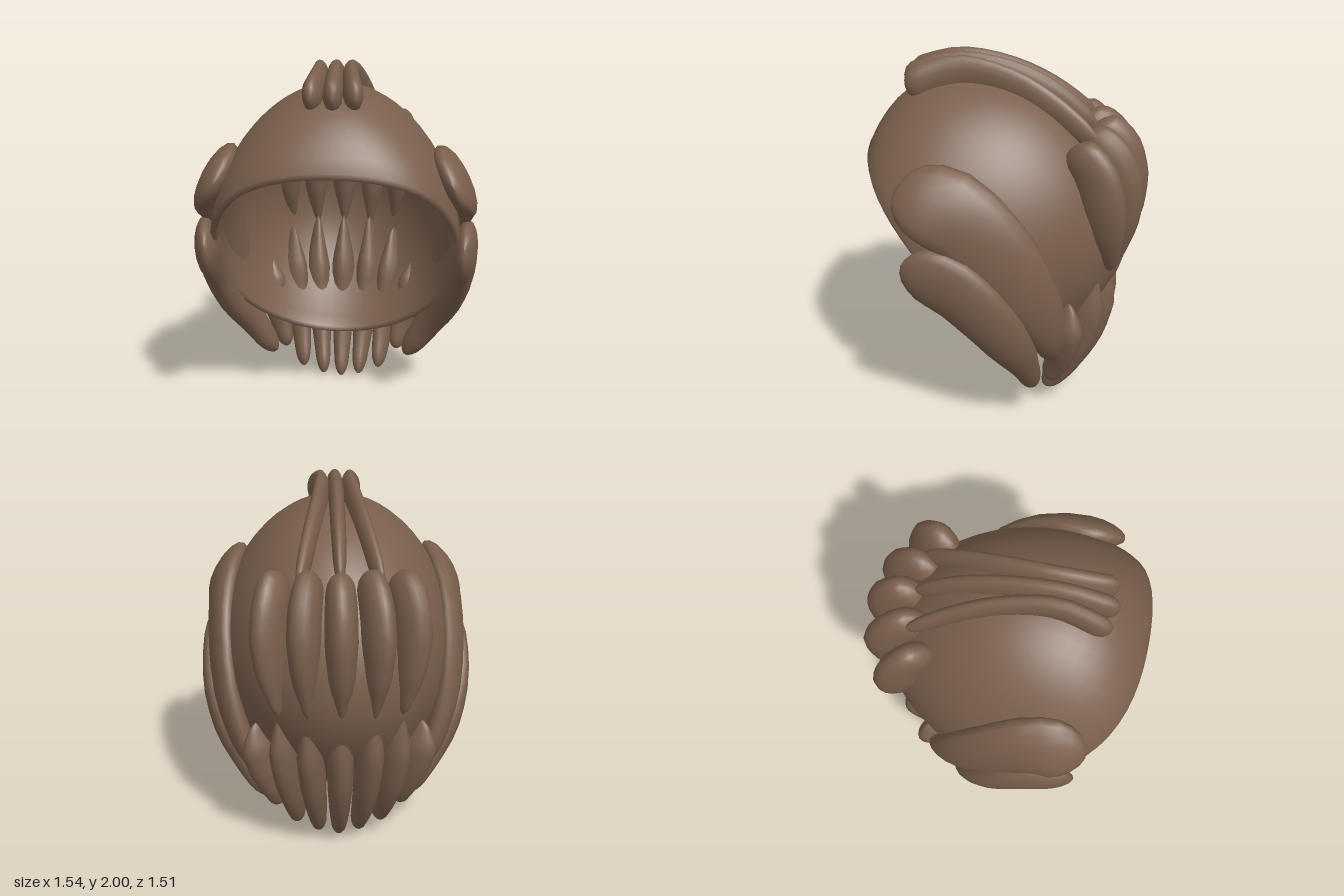
import * as THREE from 'three';
import { mergeVertices } from 'three/addons/utils/BufferGeometryUtils.js';

const hairBrown = new THREE.MeshStandardMaterial({ color: 0x7a5f4c });
hairBrown.name = 'hairBrown';

const HEAD = new THREE.Vector3(0, 1, 0.1); // locks lie flat around this point

// linear interpolation through a short list
function sample(list, t) {
  const f = t * (list.length - 1);
  const i = Math.min(Math.floor(f), list.length - 2);
  return THREE.MathUtils.lerp(list[i], list[i + 1], f - i);
}

// Tapered lock: an ellipse swept along a curve, closed by rounded ends
function lockGeometry(points, widths, depths, startCap, endCap) {
  const curve = new THREE.CatmullRomCurve3(points.map((p) => new THREE.Vector3(...p)));
  const rings = 20, sides = 16, pos = [], index = [];
  const round = (d, cap) => Math.sqrt(Math.max(0, 1 - (1 - Math.min(1, d / cap)) ** 2));
  for (let i = 0; i <= rings; i++) {
    const t = 0.5 - 0.5 * Math.cos((Math.PI * i) / rings); // denser near the ends
    const p = curve.getPoint(t), tangent = curve.getTangent(t);
    const out = p.clone().sub(HEAD);
    out.addScaledVector(tangent, -out.dot(tangent)).normalize();
    const side = new THREE.Vector3().crossVectors(tangent, out);
    const end = Math.max(0.001, round(t, startCap) * round(1 - t, endCap));
    const w = sample(widths, t) * end, d = sample(depths, t) * end;
    for (let j = 0; j < sides; j++) {
      const a = (j / sides) * Math.PI * 2;
      const v = p.clone().addScaledVector(out, Math.cos(a) * d).addScaledVector(side, Math.sin(a) * w);
      pos.push(v.x, v.y, v.z);
      if (i < rings) {
        const k = (j + 1) % sides, r = i * sides, n = r + sides;
        index.push(r + j, r + k, n + j, r + k, n + k, n + j);
      }
    }
  }
  const g = new THREE.BufferGeometry();
  g.setAttribute('position', new THREE.Float32BufferAttribute(pos, 3));
  g.setIndex(index);
  g.computeVertexNormals();
  return g;
}

// Hollow cap, open toward the face and tilted back
function capGeometry() {
  const profile = [], n = 20, max = THREE.MathUtils.degToRad(94);
  for (let i = 0; i <= n; i++) {
    const a = (max * i) / n;
    profile.push(new THREE.Vector2(0.95 * Math.sin(a), 0.95 * Math.cos(a)));
  }
  profile.push(new THREE.Vector2(0.97, -0.09));
  for (let i = n; i >= 0; i--) {
    const a = (max * i) / n;
    profile.push(new THREE.Vector2(Math.sin(a), Math.cos(a)));
  }
  let g = new THREE.LatheGeometry(profile, 56);
  g.deleteAttribute('uv');
  g.deleteAttribute('normal');
  g = mergeVertices(g, 1e-4);
  // fuller crown and nape, bulging brow with the rim tucked under
  const p = g.attributes.position;
  for (let i = 0; i < p.count; i++) {
    const x = p.getX(i), y = p.getY(i), z = p.getZ(i);
    let kx = 1, kz = 1 + 0.2 * y * y;
    if (z > 0) {
      const square = 0.2 * x * x * z * z * Math.max(0, 1 - Math.abs(y));
      kx += square;
      kz += square + z * z * (0.45 * y * (1 - y) - 0.03);
    }
    p.setXYZ(i, x * kx, y, z * kz);
  }
  g.scale(0.67, 0.9, 0.8);
  g.rotateX(-0.89);
  g.translate(0, 0.975, 0.25);
  g.computeVertexNormals();
  return g;
}

export function createModel() {
  const model = new THREE.Group();
  model.name = 'hair';
  const add = (name, geometry) => {
    const mesh = new THREE.Mesh(geometry, hairBrown);
    mesh.name = name;
    model.add(mesh);
  };
  const lock = (name, points, ...shape) => add(name, lockGeometry(points, ...shape));
  const pair = (name, points, ...shape) => {
    lock(name + 'Left', points, ...shape);
    lock(name + 'Right', points.map(([x, y, z]) => [-x, y, z]), ...shape);
  };

  add('cap', capGeometry());

  // Crest of three locks over the crown
  const crest = [[0.05, 0.046, 0.042, 0.04, 0.03], [0.09, 0.1, 0.09, 0.08, 0.06], 0.07, 0.12];
  lock('crestMiddle', [[0, 1.83, 0.58], [0, 1.9, 0.3], [0, 1.865, 0.02], [0, 1.77, -0.2], [0, 1.58, -0.45]], ...crest);
  pair('crestSide', [[0.115, 1.83, 0.56], [0.075, 1.9, 0.28], [0.1, 1.855, 0.02], [0.145, 1.75, -0.2], [0.21, 1.56, -0.46]], ...crest);

  // Upper row at the back: round tops, pointed tips
  const upper = [[0.07, 0.082, 0.085, 0.07, 0.012], [0.12, 0.14, 0.14, 0.11, 0.03], 0.13, 0.06];
  lock('upperBackMiddle', [[0, 1.61, -0.43], [0, 1.49, -0.55], [0, 1.32, -0.6], [0, 1.12, -0.61], [0, 0.89, -0.6]], ...upper);
  pair('upperBackInner', [[0.14, 1.61, -0.38], [0.175, 1.48, -0.51], [0.185, 1.32, -0.57], [0.18, 1.12, -0.58], [0.165, 0.89, -0.58]], ...upper);
  pair('upperBackOuter', [[0.3, 1.59, -0.32], [0.345, 1.47, -0.43], [0.36, 1.3, -0.48], [0.35, 1.12, -0.51], [0.32, 0.9, -0.54]], ...upper);

  // Lower row at the nape: pointed tops, round ends
  const lower = [[0.012, 0.072, 0.07, 0.055, 0.036], [0.03, 0.11, 0.1, 0.08, 0.05], 0.06, 0.1];
  lock('napeMiddle', [[0, 0.95, -0.54], [0, 0.66, -0.49], [0, 0.43, -0.45], [0, 0.2, -0.35], [0, 0.01, -0.22]], ...lower);
  pair('napeInner', [[0.16, 0.95, -0.52], [0.16, 0.66, -0.48], [0.145, 0.43, -0.43], [0.125, 0.22, -0.34], [0.105, 0.03, -0.21]], ...lower);
  pair('napeMid', [[0.31, 0.9, -0.45], [0.3, 0.66, -0.42], [0.28, 0.45, -0.38], [0.25, 0.26, -0.31], [0.225, 0.08, -0.2]], ...lower);
  pair('napeOuter', [[0.45, 0.76, -0.33], [0.44, 0.62, -0.32], [0.41, 0.47, -0.3], [0.37, 0.34, -0.27], [0.33, 0.2, -0.22]], ...lower);

  // Broad locks sweeping back along each side
  pair('upperSide', [[0.6, 1.41, 0.56], [0.63, 1.365, 0.28], [0.645, 1.13, 0.03], [0.61, 0.84, -0.14], [0.53, 0.59, -0.23], [0.43, 0.4, -0.25]],
    [0.19, 0.215, 0.2, 0.16, 0.1, 0.05], [0.08, 0.08, 0.07, 0.07, 0.06, 0.04], 0.15, 0.1);
  pair('lowerSide', [[0.67, 1.07, 0.52], [0.69, 0.975, 0.28], [0.68, 0.785, 0.09], [0.61, 0.58, -0.03], [0.51, 0.4, -0.1], [0.39, 0.2, -0.14]],
    [0.15, 0.18, 0.16, 0.13, 0.08, 0.05], [0.06, 0.07, 0.08, 0.09, 0.08, 0.06], 0.14, 0.1);

  return model;
}
